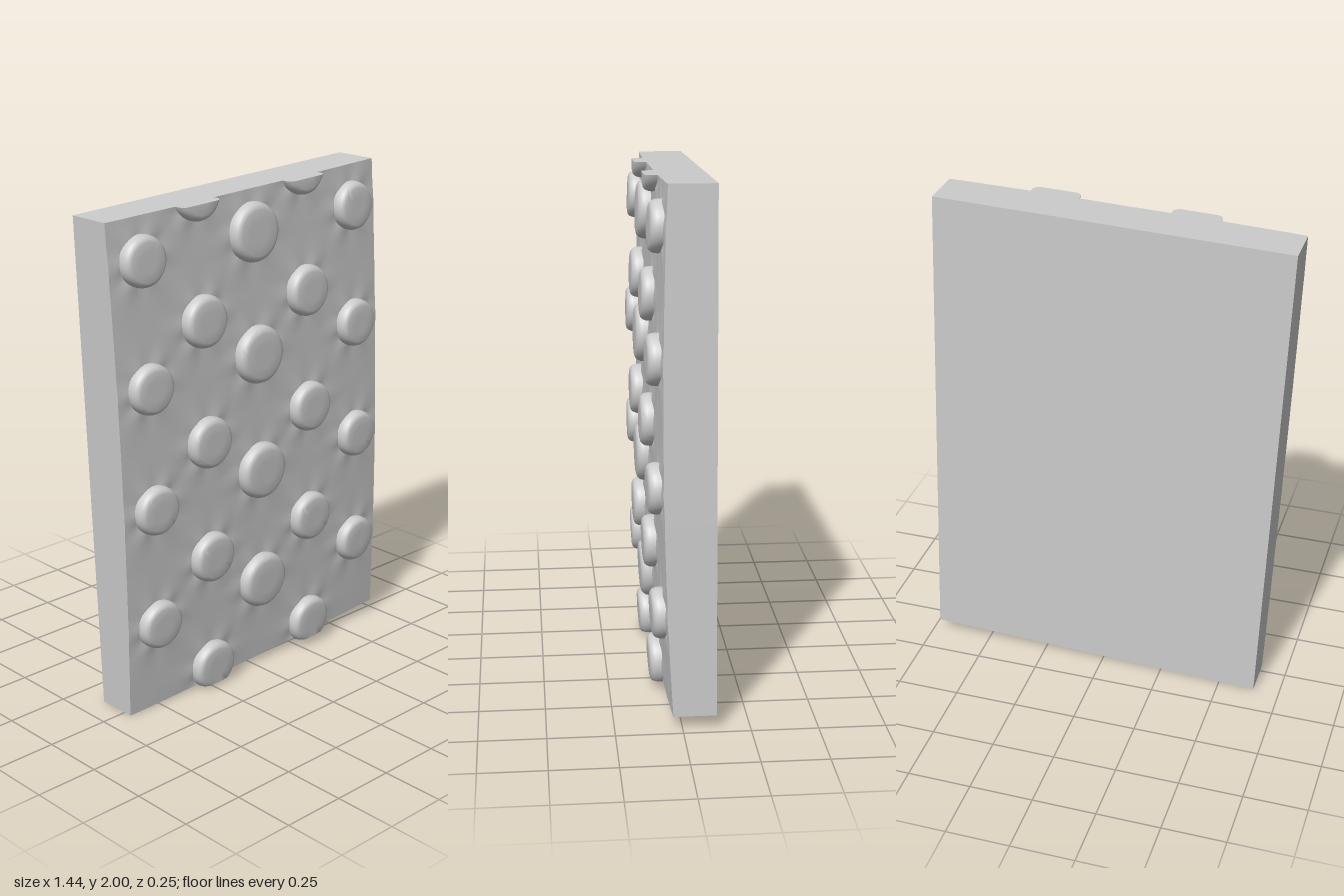
import * as THREE from 'three';
import { toCreasedNormals } from 'three/addons/utils/BufferGeometryUtils.js';

const W = 1.366, H = 1.947, BACK = -0.125;
const PITCH = 0.477, TILT = 0.038;

// Stud layout: staggered columns, mirrored about the middle one
const studs = [];
for (let k = 0; k < 4; k++) {
  const y = 0.813 - k * PITCH;
  studs.push({ x: 0, y, r: 0.114 }, { x: -0.541, y, r: 0.096 }, { x: 0.541, y, r: 0.096 });
}
for (let k = 0; k < 5; k++) {
  const y = 1.007 - k * PITCH;
  studs.push({ x: -0.27, y, r: 0.101 }, { x: 0.27, y, r: 0.101 });
}

// Gently crowned front face
function crown(x, y) {
  const v = y / (H / 2), u = x / (W / 2);
  return 0.075 - 0.025 * v * v + 0.007 * v - 0.008 * u ** 4;
}

// Faint folds radiating from each stud
function folds(x, y) {
  let h = 0;
  for (const s of studs) {
    const dx = x - s.x, dy = y - s.y;
    const d = Math.max(0, Math.hypot(dx, dy) - s.r);
    if (d < 0.2) h = Math.max(h, 0.006 * Math.exp(-d / 0.05) * (0.5 + 0.5 * Math.cos(6 * Math.atan2(dy, dx))));
  }
  return h;
}

function slabGeometry() {
  const geo = new THREE.BoxGeometry(W, H, 1, 80, 114, 1);
  const p = geo.attributes.position;
  for (let i = 0; i < p.count; i++) {
    const x = p.getX(i), y = p.getY(i);
    p.setZ(i, p.getZ(i) > 0 ? crown(x, y) + folds(x, y) : BACK);
  }
  return toCreasedNormals(geo, 0.6);
}

// Rounded puck from stacked rings, each ring cut off at the slab's end edges
function studGeometry({ x, y, r }) {
  const profile = [[0.97, -0.02], [1, 0.012], [0.985, 0.026], [0.94, 0.037], [0.86, 0.045], [0.76, 0.048], [0.4, 0.048], [0, 0.048]];
  const N = 48, pos = [], index = [];
  const top = H / 2 - y, bottom = -H / 2 - y;
  profile.forEach(([f, z], j) => {
    const rho = f * r;
    for (let i = 0; i <= N; i++) {
      const t = (i / N) * Math.PI * 2;
      let dx = Math.cos(t) * rho, dy = Math.sin(t) * rho;
      const cut = THREE.MathUtils.clamp(dy, bottom, top);
      if (cut !== dy) {
        const half = Math.sqrt(Math.max(0, rho * rho - cut * cut));
        dx = THREE.MathUtils.clamp(dx, -half, half);
        dy = cut;
      }
      pos.push(x + dx, y + dy, crown(x + dx, y + dy) + z);
      if (j < profile.length - 1 && i < N) {
        const a = j * (N + 1) + i, d = a + N + 1;
        index.push(a, a + 1, d + 1, a, d + 1, d);
      }
    }
  });
  const geo = new THREE.BufferGeometry();
  geo.setAttribute('position', new THREE.Float32BufferAttribute(pos, 3));
  geo.setIndex(index);
  return toCreasedNormals(geo, 0.8);
}

export function createModel() {
  const material = new THREE.MeshStandardMaterial({ color: 0xcccccc });
  const model = new THREE.Group();
  model.name = 'studdedPanel';

  // Panel leans slightly in its own plane
  const panel = new THREE.Group();
  panel.name = 'panel';
  panel.rotation.z = TILT;
  panel.position.y = 1;
  model.add(panel);

  const slab = new THREE.Mesh(slabGeometry(), material);
  slab.name = 'slab';
  panel.add(slab);

  studs.forEach((s, i) => {
    const stud = new THREE.Mesh(studGeometry(s), material);
    stud.name = `stud${i + 1}`;
    panel.add(stud);
  });
  return model;
}
